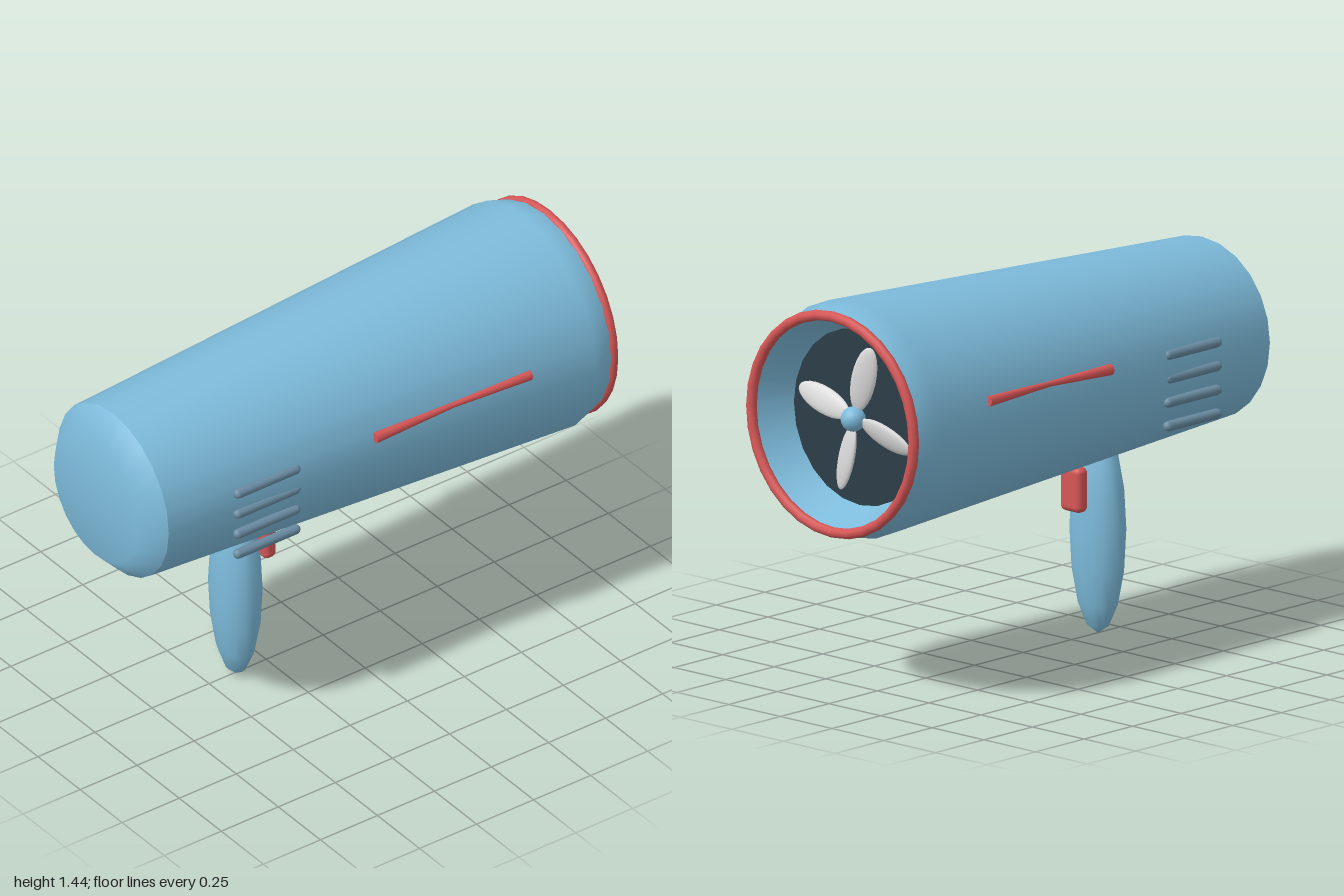
import * as THREE from 'three';
import { RoundedBoxGeometry } from 'three/addons/geometries/RoundedBoxGeometry.js';

const AXIS_Y = 1.015; // height of the barrel axis

const mat = (name, color, extra = {}) => {
  const m = new THREE.MeshStandardMaterial({ color, ...extra });
  m.name = name;
  return m;
};

export function createModel() {
  const blue = mat('sky blue', 0x7dbbdb);
  const red = mat('coral red', 0xd65656);
  const slate = mat('slate blue', 0x6a8ca3);
  const dark = mat('dark slate', 0x2c3e48);
  const pale = mat('pale grey', 0xdcdcdc);

  const model = new THREE.Group();
  model.name = 'hairDryer';

  const add = (name, geometry, material, x = 0, y = 0, z = 0, parent = model) => {
    const mesh = new THREE.Mesh(geometry, material);
    mesh.name = name;
    mesh.position.set(x, y, z);
    parent.add(mesh);
    return mesh;
  };

  // Profile of [radius, z] points turned around the z axis
  const turned = (points) =>
    new THREE.LatheGeometry(points.map(([r, z]) => new THREE.Vector2(r, z)), 24).rotateX(Math.PI / 2);

  // Tapered rod between two points
  const rod = (a, b, rA, rB) => {
    const dir = b.clone().sub(a);
    const g = new THREE.CylinderGeometry(rB, rA, dir.length(), 10);
    g.applyQuaternion(new THREE.Quaternion().setFromUnitVectors(new THREE.Vector3(0, 1, 0), dir.normalize()));
    const mid = a.clone().add(b).multiplyScalar(0.5);
    return g.translate(mid.x, mid.y, mid.z);
  };

  // Barrel: tapered shell, rounded front cap, recessed rear opening
  add('barrel', turned([[0.4, -0.975], [0.43, -0.88], [0.33, 0.92]]), blue, 0, AXIS_Y);
  add('frontCap', turned([[0.33, 0.92], [0.245, 1], [0, 1]]), blue, 0, AXIS_Y);
  add('innerWall', turned([[0.32, -0.84], [0.385, -0.98]]), blue, 0, AXIS_Y);
  add('innerDisc', new THREE.CircleGeometry(0.322, 24).rotateY(Math.PI), dark, 0, AXIS_Y, -0.84);
  add('rearRing', new THREE.TorusGeometry(0.393, 0.019, 10, 32), red, 0, AXIS_Y, -0.981);

  // Fan: four oval blades around a round hub
  const fan = new THREE.Group();
  fan.name = 'fan';
  fan.position.set(0, AXIS_Y, -0.865);
  fan.rotation.z = 0.27;
  model.add(fan);
  add('fanHub', new THREE.SphereGeometry(0.045, 16, 12), blue, 0, 0, -0.01, fan);
  for (let i = 0; i < 4; i++) {
    const blade = new THREE.SphereGeometry(1, 16, 12).scale(0.048, 0.125, 0.016);
    blade.rotateY(0.3).translate(0, 0.155, 0).rotateZ((i * Math.PI) / 2);
    add('fanBlade', blade, pale, 0, 0, 0, fan);
  }

  // Handle and trigger
  add('handle', new THREE.SphereGeometry(1, 16, 8).scale(0.116, 0.383, 0.084), blue, 0, 0.385, 0.385);
  add('trigger', new RoundedBoxGeometry(0.1, 0.165, 0.055, 3, 0.022), red, 0, 0.55, 0.262);

  // Vents and pinched stripes on both sides
  for (const side of [1, -1]) {
    for (let i = 0; i < 4; i++) {
      const vent = new THREE.CapsuleGeometry(0.0185, 0.25, 5, 10).rotateX(Math.PI / 2);
      add('vent', vent, slate, side * 0.347, 1.075 - i * 0.0865, 0.503);
    }
    const front = new THREE.Vector3(side * 0.374, 1.088, 0.05);
    const middle = new THREE.Vector3(side * 0.39, 1.1, -0.28);
    const back = new THREE.Vector3(side * 0.402, 1.1, -0.61);
    add('stripeFront', rod(front, middle, 0.021, 0.01), red);
    add('stripeBack', rod(middle, back, 0.01, 0.02), red);
  }

  return model;
}
